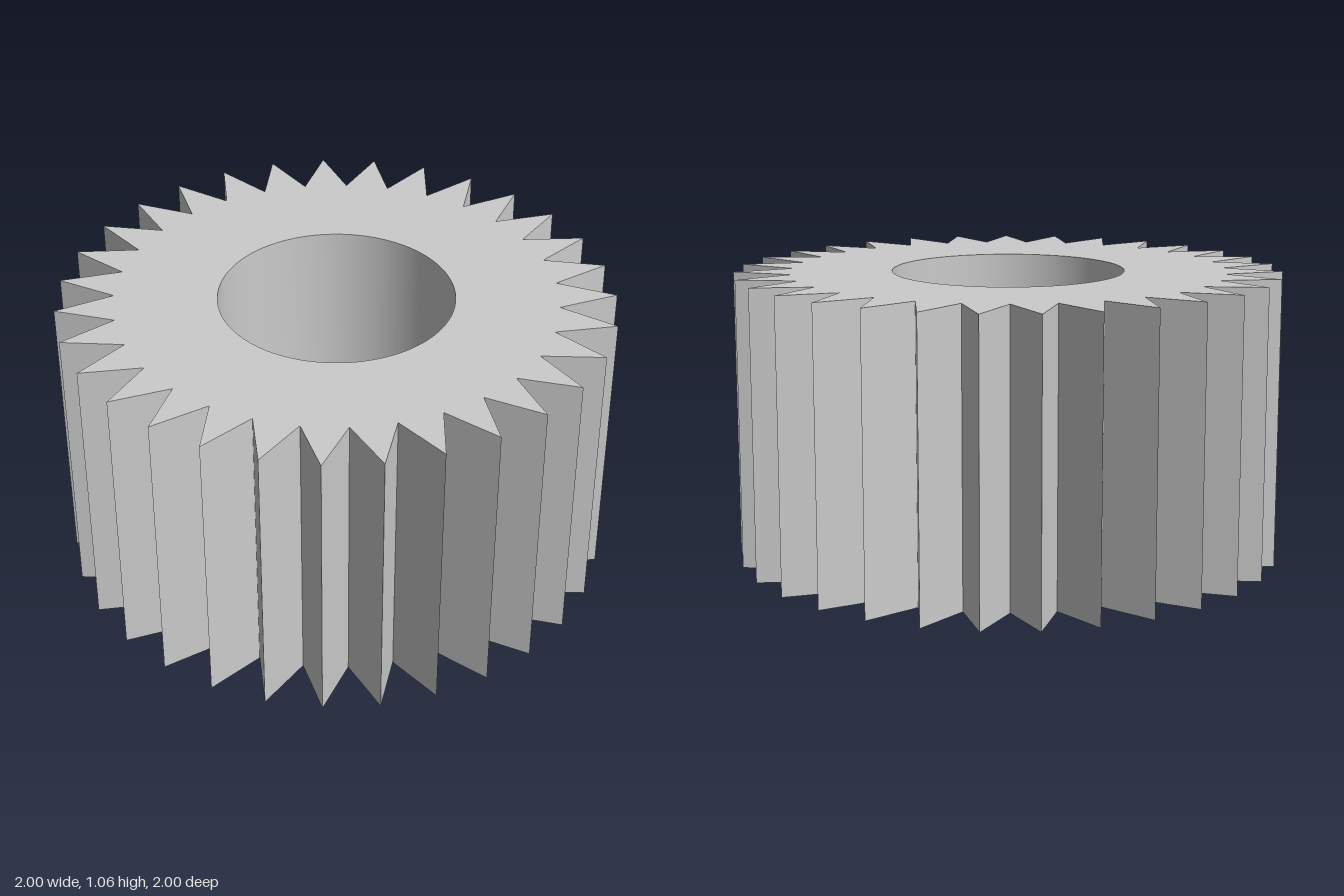
import * as THREE from 'three';
import { toCreasedNormals } from 'three/addons/utils/BufferGeometryUtils.js';

const TEETH = 31;
const TIP_RADIUS = 1.0026;
const ROOT_RADIUS = 0.795;
const BORE_RADIUS = 0.425;
const HEIGHT = 1.06;

export function createModel() {
  const group = new THREE.Group();
  group.name = 'gear';

  // Pointed tooth outline: tips and roots alternate, with one tip facing -x
  const outline = [];
  for (let i = 0; i < TEETH * 2; i++) {
    const angle = Math.PI + (i * Math.PI) / TEETH;
    const radius = i % 2 ? ROOT_RADIUS : TIP_RADIUS;
    outline.push(new THREE.Vector2(Math.cos(angle) * radius, Math.sin(angle) * radius));
  }
  const shape = new THREE.Shape(outline);

  // Round bore through the middle
  shape.holes.push(new THREE.Path().absarc(0, 0, BORE_RADIUS, 0, Math.PI * 2, true));

  // Extrude upwards; keep tooth edges sharp and the bore smooth
  const extruded = new THREE.ExtrudeGeometry(shape, {
    depth: HEIGHT, bevelEnabled: false, curveSegments: 72,
  });
  extruded.rotateX(-Math.PI / 2);
  // An odd tooth count reaches less far on +x, so shift to centre the width
  extruded.translate(0.0026, 0, 0);

  const body = new THREE.Mesh(
    toCreasedNormals(extruded, 0.35),
    new THREE.MeshStandardMaterial({ color: 0xcccccc }),
  );
  body.name = 'toothedBody';
  group.add(body);
  return group;
}
